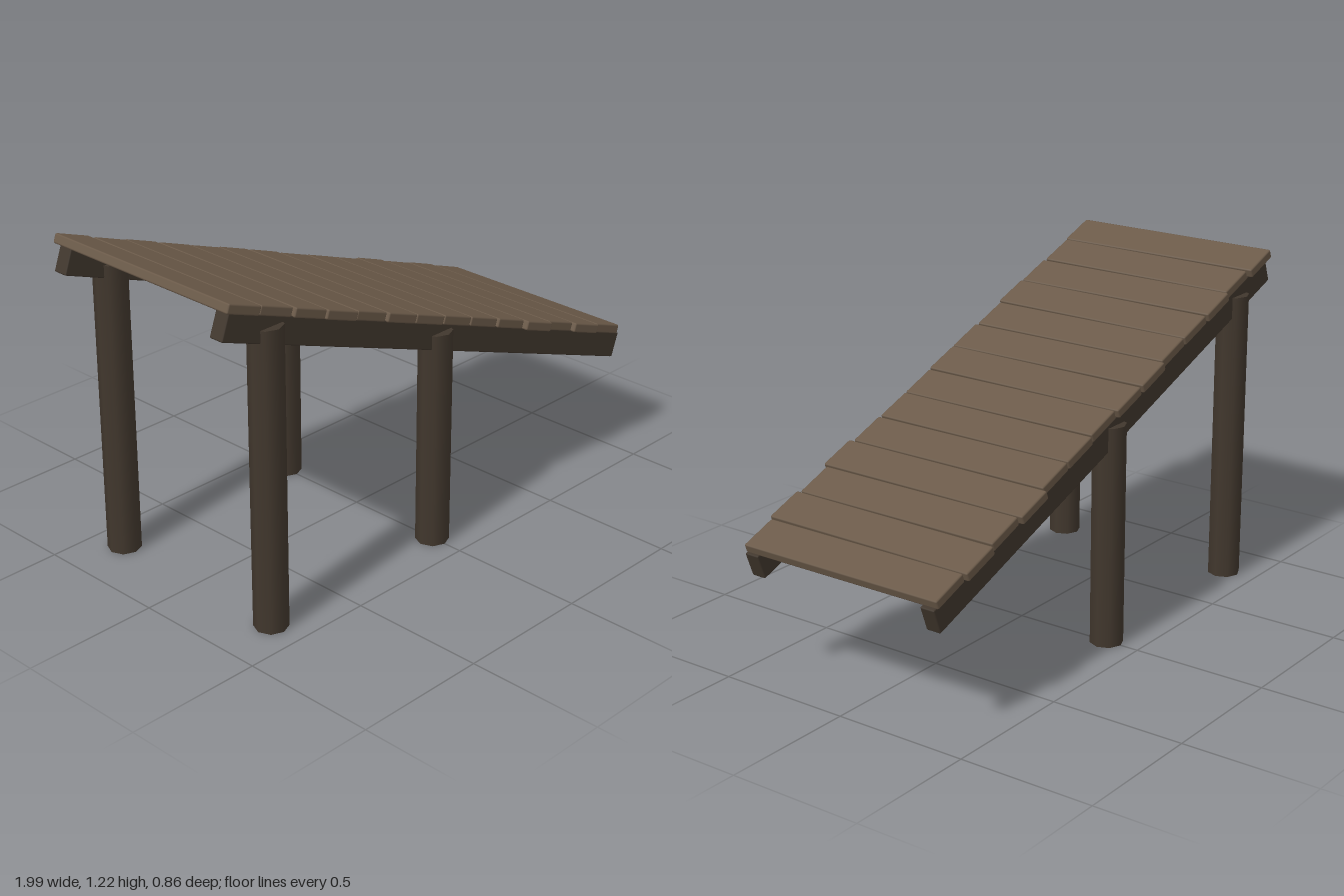
import * as THREE from 'three';
import { RoundedBoxGeometry } from 'three/addons/geometries/RoundedBoxGeometry.js';

export function createModel() {
  const model = new THREE.Group();
  model.name = 'woodenRamp';
  const plankWood = new THREE.MeshStandardMaterial({ color: 0x6b5a49 });
  plankWood.name = 'plankWood';
  const darkWood = new THREE.MeshStandardMaterial({ color: 0x41372d });
  darkWood.name = 'darkWood';

  const add = (parent, name, geometry, material, x, y, z) => {
    const mesh = new THREE.Mesh(geometry, material);
    mesh.name = name;
    mesh.position.set(x, y, z);
    parent.add(mesh);
    return mesh;
  };

  // Sloping deck, built flat and tilted as one
  const deck = new THREE.Group();
  deck.name = 'deck';
  deck.position.y = 0.79;
  deck.rotation.z = -THREE.MathUtils.degToRad(20);
  model.add(deck);

  // Bearer beams
  for (const side of [-1, 1]) {
    add(deck, side > 0 ? 'frontBeam' : 'backBeam',
      new RoundedBoxGeometry(2.09, 0.095, 0.056, 1, 0.005), darkWood, 0, 0, side * 0.37);
  }

  // Planks: back edge, front edge, yaw
  const planks = [
    [-0.415, 0.405, 0.004], [-0.4, 0.4, -0.003], [-0.41, 0.405, 0.004], [-0.405, 0.41, -0.004],
    [-0.402, 0.4, 0.003], [-0.415, 0.406, 0.005], [-0.412, 0.405, -0.004], [-0.4, 0.4, 0.003],
    [-0.405, 0.4, -0.003], [-0.404, 0.403, 0.002], [-0.425, 0.42, -0.002], [-0.41, 0.4, 0.003],
    [-0.42, 0.414, -0.003], [-0.406, 0.4, 0.005],
  ];
  const pitch = 0.15;
  planks.forEach(([back, front, yaw], i) => {
    const plank = add(deck, 'plank',
      new RoundedBoxGeometry(pitch - 0.005, 0.034, front - back, 1, 0.006), plankWood,
      -1.064 + (i + 0.5) * pitch, 0.06, (back + front) / 2);
    plank.rotation.y = yaw;
  });

  // Round posts, a tall pair and a short pair
  for (const [name, x, height] of [['tallPost', -0.79, 1.09], ['shortPost', 0, 0.81]]) {
    for (const z of [-0.37, 0.37]) {
      add(model, name, new THREE.CylinderGeometry(0.06, 0.06, height, 8), darkWood, x, height / 2, z);
    }
  }
  return model;
}
